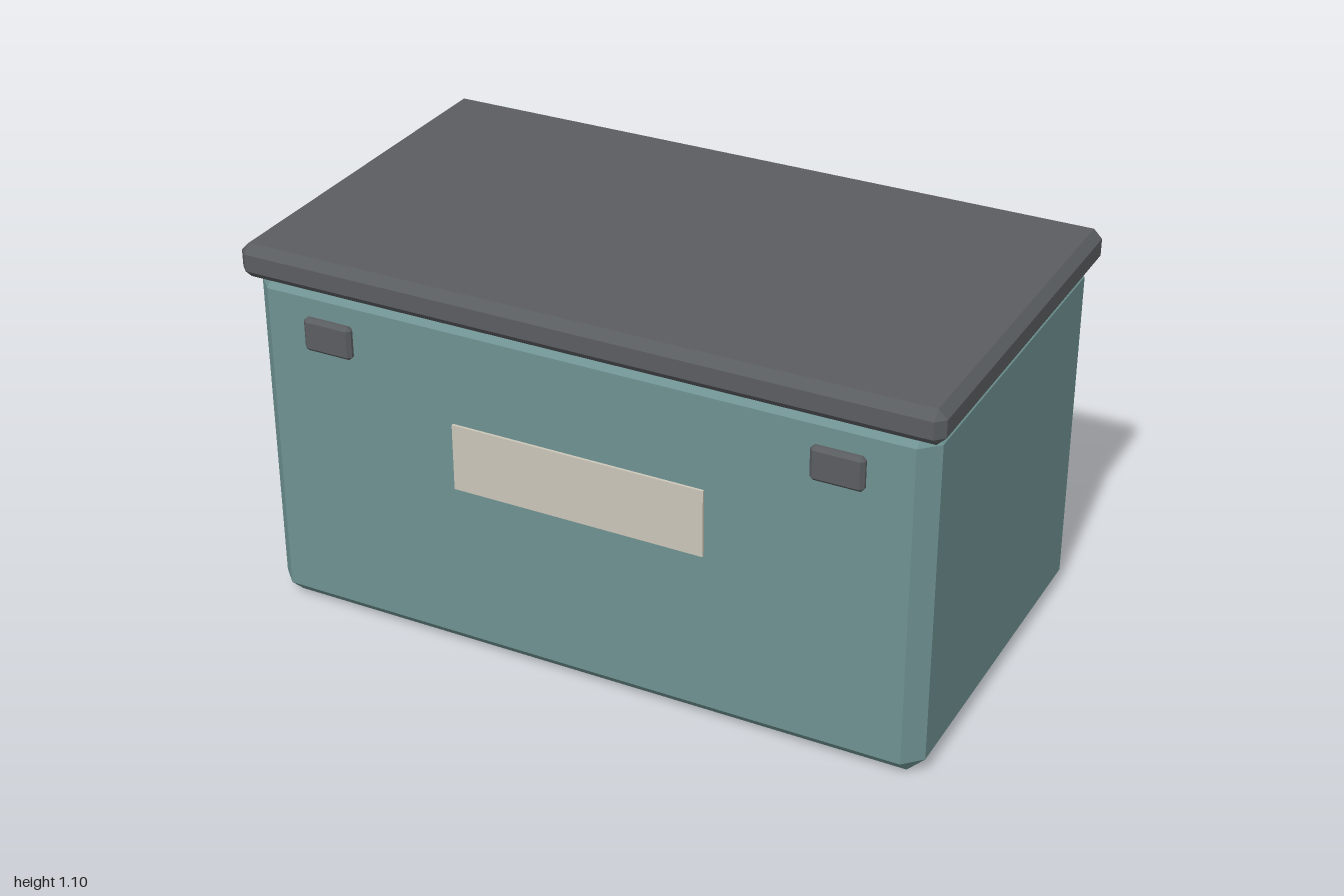
import * as THREE from 'three';
import { ConvexGeometry } from 'three/addons/geometries/ConvexGeometry.js';

// Box with every edge and corner chamfered by c
function chamferBox(w, h, d, c) {
  const points = [];
  for (const sx of [-1, 1]) for (const sy of [-1, 1]) for (const sz of [-1, 1]) {
    const x = w / 2, y = h / 2, z = d / 2;
    points.push(
      new THREE.Vector3(sx * x, sy * (y - c), sz * (z - c)),
      new THREE.Vector3(sx * (x - c), sy * y, sz * (z - c)),
      new THREE.Vector3(sx * (x - c), sy * (y - c), sz * z)
    );
  }
  return new ConvexGeometry(points);
}

export function createModel() {
  const group = new THREE.Group();
  const paint = (color) => new THREE.MeshStandardMaterial({ color, flatShading: true });
  const teal = paint(0x6f9292), charcoal = paint(0x5a5d60), cream = paint(0xcbc6b8);

  const add = (name, geometry, material, x, y, z) => {
    const mesh = new THREE.Mesh(geometry, material);
    mesh.name = name;
    mesh.position.set(x, y, z);
    group.add(mesh);
  };

  // Container, its top chamfer tucked into the lid
  add('body', chamferBox(1.952, 1.026, 1.097, 0.049), teal, 0, 0.513, -0.001);

  // Overhanging lid
  add('lid', chamferBox(2, 0.098, 1.143, 0.0245), charcoal, 0, 1.05, -0.001);

  // Front latches
  const latch = chamferBox(0.146, 0.097, 0.028, 0.01);
  add('leftLatch', latch, charcoal, 0.732, 0.88, 0.56);
  add('rightLatch', latch, charcoal, -0.732, 0.88, 0.56);

  // Blank label plate
  add('labelPlate', new THREE.BoxGeometry(0.733, 0.195, 0.012), cream, 0, 0.612, 0.549);

  return group;
}
